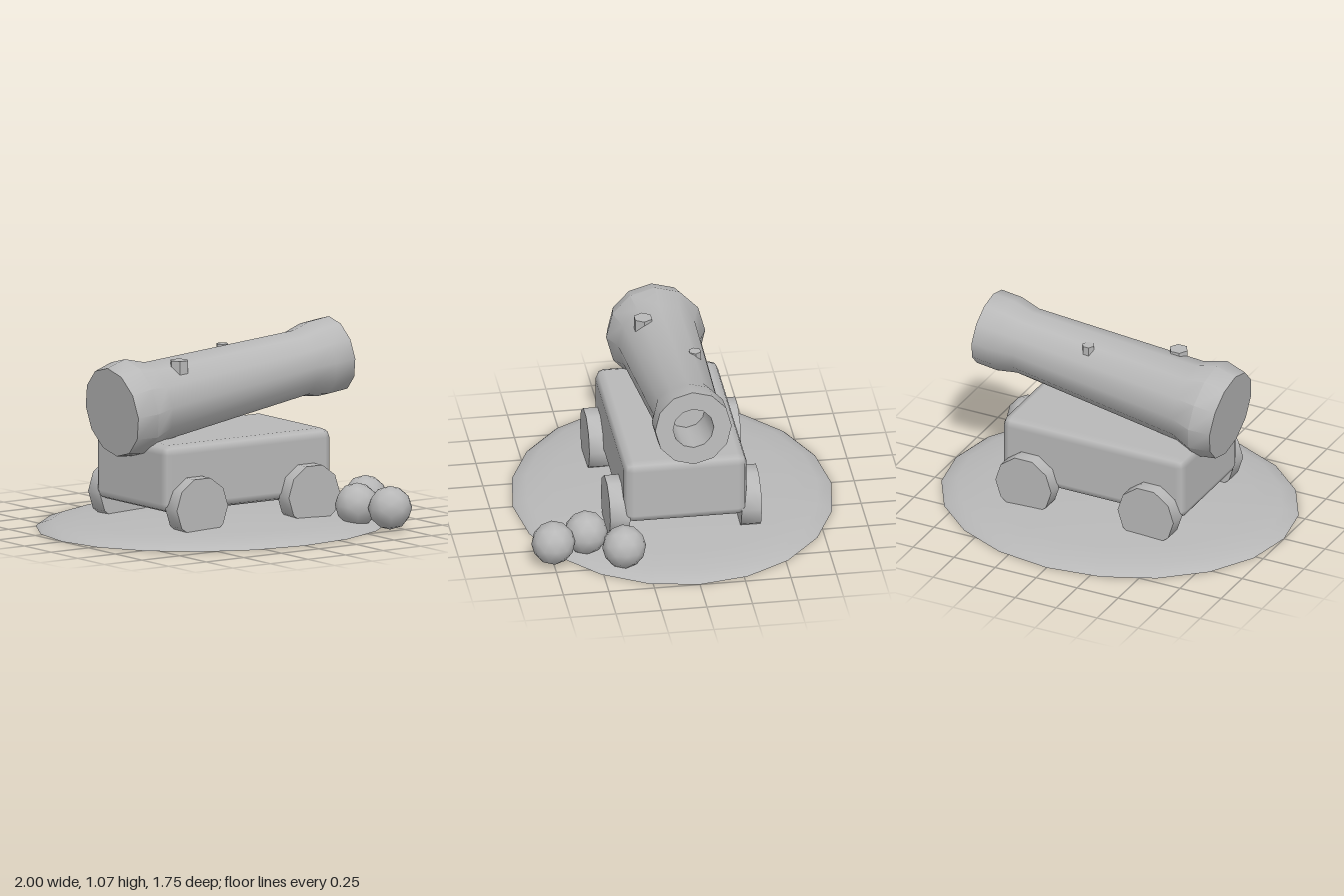
import * as THREE from 'three';
import { toCreasedNormals } from 'three/addons/utils/BufferGeometryUtils.js';
import { RoundedBoxGeometry } from 'three/addons/geometries/RoundedBoxGeometry.js';

export function createModel() {
  const group = new THREE.Group();
  const grey = new THREE.MeshStandardMaterial({ color: 0xb8b8b8 });
  grey.name = 'stone grey';

  const add = (name, geometry, x = 0, y = 0, z = 0) => {
    const mesh = new THREE.Mesh(geometry, grey);
    mesh.name = name;
    mesh.position.set(x, y, z);
    group.add(mesh);
    return mesh;
  };
  const lathe = (profile, sides) => toCreasedNormals(
    new THREE.LatheGeometry(profile.map(([r, y]) => new THREE.Vector2(r, y)), sides), 0.7);

  // Low oval mound, closed underneath
  add('mound', lathe([
    [0, 0], [1, 0], [0.985, 0.012], [0.91, 0.035], [0.75, 0.052], [0.45, 0.07], [0, 0.084],
  ], 20)).scale.z = 0.875;

  // Carriage block with chamfered edges
  add('carriage', new RoundedBoxGeometry(1.11, 0.37, 0.675, 1, 0.05), 0.005, 0.337, 0.007);

  // Four ten-sided wheels, sunk a little into the mound
  const wheel = toCreasedNormals(
    new THREE.CylinderGeometry(0.17, 0.17, 0.11, 10).rotateY(Math.PI / 10).rotateX(Math.PI / 2), 0.7);
  for (const [side, z] of [['Left', 0.368], ['Right', -0.355]]) {
    // The gun points along +x, so its muzzle end carries the front pair
    add('muzzleWheel' + side, wheel, 0.38, 0.18, z);
    add('breechWheel' + side, wheel, -0.365, 0.18, z);
  }

  // Barrel with flared breech, muzzle ring and open bore
  const barrel = add('barrel', lathe([
    [0, 0], [0.247, 0], [0.272, 0.12], [0.227, 0.245], [0.184, 1.242],
    [0.21, 1.356], [0.21, 1.481], [0.112, 1.481], [0.105, 1.21], [0, 1.21],
  ], 12), -0.67, 0.68, 0.005);
  barrel.rotation.z = -Math.PI / 2 + 0.1235;

  // Hexagonal plugs on the barrel
  const plug = (r, h) => toCreasedNormals(
    new THREE.CylinderGeometry(r, r, h, 6).rotateY(Math.PI / 6), 0.7);
  add('largePlug', plug(0.053, 0.09), -0.3, 0.902, 0.113);
  add('smallPlug', plug(0.035, 0.06), 0.14, 0.937, -0.104);

  // Loose cannonballs beside the carriage
  const ball = new THREE.IcosahedronGeometry(0.12, 1);
  [[0.75, 0.378], [0.565, 0.56], [0.65, 0.752]].forEach(([x, z], i) =>
    add('cannonball' + (i + 1), ball, x, 0.13, z));

  return group;
}
